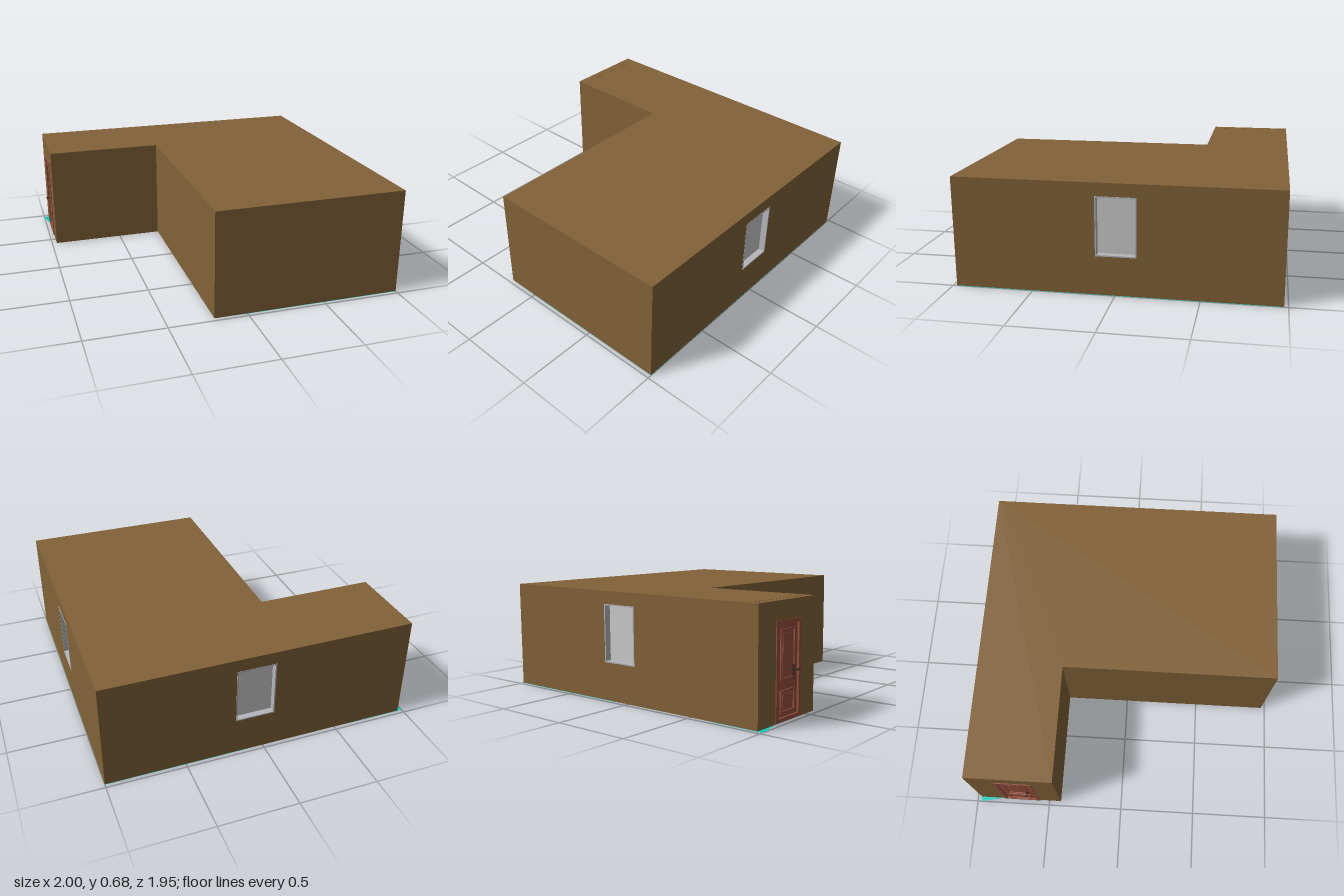
import * as THREE from 'three';

const mat = (name, color) => {
  const m = new THREE.MeshStandardMaterial({ color });
  m.name = name;
  return m;
};

export function createModel() {
  const model = new THREE.Group();
  model.name = 'house';
  const brown = mat('wall brown', 0x826238);
  const grey = mat('frame grey', 0xb4b6ba);
  const pale = mat('pane grey', 0xcccccc);
  const red = mat('door wood', 0x96503e);
  const dark = mat('handle dark', 0x3a2a24);
  const teal = mat('ground teal', 0x00cdbb);
  teal.side = THREE.DoubleSide;

  const T = 0.055, H = 0.68, BASE = 0.002;

  const add = (parent, name, geometry, material, x = 0, y = 0, z = 0) => {
    const mesh = new THREE.Mesh(geometry, material);
    mesh.name = name;
    mesh.position.set(x, y, z);
    parent.add(mesh);
    return mesh;
  };
  const box = (parent, name, w, h, d, material, x, y, z) =>
    add(parent, name, new THREE.BoxGeometry(w, h, d), material, x, y, z);
  const polygon = pts => new THREE.Shape(pts.map(p => new THREE.Vector2(...p)));

  // Rectangular frame of four bars around the opening
  const frame = (parent, name, u0, u1, y0, y1, bar, depth, z, material) => {
    const w = u1 - u0, h = y1 - y0, cu = (u0 + u1) / 2, cy = (y0 + y1) / 2;
    for (const s of [-1, 1]) {
      box(parent, name, bar, h, depth, material, cu + s * (w - bar) / 2, cy, z);
      box(parent, name, w - 2 * bar, bar, depth, material, cu, cy + s * (h - bar) / 2, z);
    }
  };

  // Wall in its own frame: u along it, outer face at z = 0
  const wall = (name, u0, u1, turn, x, z, hole) => {
    const g = new THREE.Group();
    g.name = name;
    const top = H - 0.04;
    const s = polygon([[u0, BASE], [u1, BASE], [u1, top], [u0, top]]);
    if (hole) {
      const [a, b, c, d] = hole;
      s.holes.push(new THREE.Path([[a, c], [a, d], [b, d], [b, c]].map(p => new THREE.Vector2(...p))));
    }
    const geo = new THREE.ExtrudeGeometry(s, { depth: T, bevelEnabled: false }).translate(0, 0, -T);
    add(g, name + 'Panel', geo, brown);
    g.rotation.y = turn;
    g.position.set(x, 0, z);
    model.add(g);
    return g;
  };

  // Recessed window with a pane, frame and sill
  const addWindow = (g, [a, b, c, d]) => {
    const w = b - a, h = d - c, cu = (a + b) / 2, cy = (c + d) / 2;
    box(g, 'windowPane', w, h, 0.008, pale, cu, cy, -0.042);
    frame(g, 'windowFrame', a, b, c, d, 0.008, T + 0.002, -T / 2 + 0.001, grey);
  };

  // Walls round the L-shaped plan
  const Q = Math.PI / 2;
  const sideHole = [-0.115, 0.13, 0.24, 0.6];
  const backHole = [-0.182, 0.068, 0.24, 0.6];
  const doorHole = [-0.81, -0.565, 0.006, 0.57];
  addWindow(wall('leftWall', -0.975, 0.975, Q, 1, 0, sideHole), sideHole);
  addWindow(wall('backWall', -1, 0.968, 2 * Q, 0, -0.975, backHole), backHole);
  const entry = wall('entryWall', -0.975, -0.42, -Q, -0.968, 0, doorHole);
  wall('innerSideWall', -0.42, 0.975, -Q, -0.21, 0);
  wall('wingFrontWall', -0.968, -0.21, 0, 0, -0.42);
  wall('frontWall', -0.21, 1, 0, 0, 0.975);

  // Roof and floor slabs
  const slab = (name, inset, y, depth) => {
    const i = inset;
    const s = polygon([[1 - i, -0.975 + i], [1 - i, 0.975 - i], [-0.21 + i, 0.975 - i],
      [-0.21 + i, -0.42 - i], [-0.968 + i, -0.42 - i], [-0.968 + i, -0.975 + i]]);
    const geo = new THREE.ExtrudeGeometry(s, { depth, bevelEnabled: false });
    geo.rotateX(Q).translate(0, y, 0);
    add(model, name, geo, brown);
  };
  slab('roof', 0, H, 0.04);
  slab('floor', T, 0.014, 0.012);
  box(model, 'roofSeam', 0.006, 0.002, 0.45, brown, -0.91, H, -0.703);

  // Panelled door
  const [a, b, c, d] = doorHole;
  const du = (a + b) / 2;
  box(entry, 'doorLeaf', b - a - 0.02, d - c, 0.03, red, du, (c + d) / 2, -0.022);
  frame(entry, 'doorFrame', a, b, c, d, 0.022, 0.06, -0.025, red);
  for (const [y0, y1] of [[0.05, 0.18], [0.235, 0.52]]) {
    frame(entry, 'doorMoulding', a + 0.05, b - 0.05, y0, y1, 0.012, 0.01, -0.004, red);
    box(entry, 'doorPanel', 0.095, y1 - y0 - 0.05, 0.006, red, du, (y0 + y1) / 2, -0.006);
  }

  // Door handle
  const hu = -0.625;
  box(entry, 'handlePlate', 0.018, 0.08, 0.008, dark, hu, 0.27, -0.003);
  const stem = new THREE.CylinderGeometry(0.004, 0.004, 0.032, 10).rotateX(Q);
  add(entry, 'handleStem', stem, dark, hu, 0.285, 0.014);
  box(entry, 'handleLever', 0.03, 0.008, 0.005, dark, hu - 0.004, 0.285, 0.0295);

  // Ground strips showing beneath the walls
  const strips = [
    [[1, -0.975], [1, 0.975], [0.945, 0.925], [0.945, -0.925]],
    [[1, 0.975], [-0.1, 0.975], [0.945, 0.925]],
    [[1, -0.975], [0.945, -0.925], [0.1, -0.965], [0.1, -0.975]],
    [[-1, -0.975], [-0.6, -0.975], [-0.9, -0.945], [-0.93, -0.7], [-0.968, -0.82]],
  ];
  for (const pts of strips) {
    add(model, 'groundStrip', new THREE.ShapeGeometry(polygon(pts)).rotateX(Q), teal);
  }
  return model;
}
